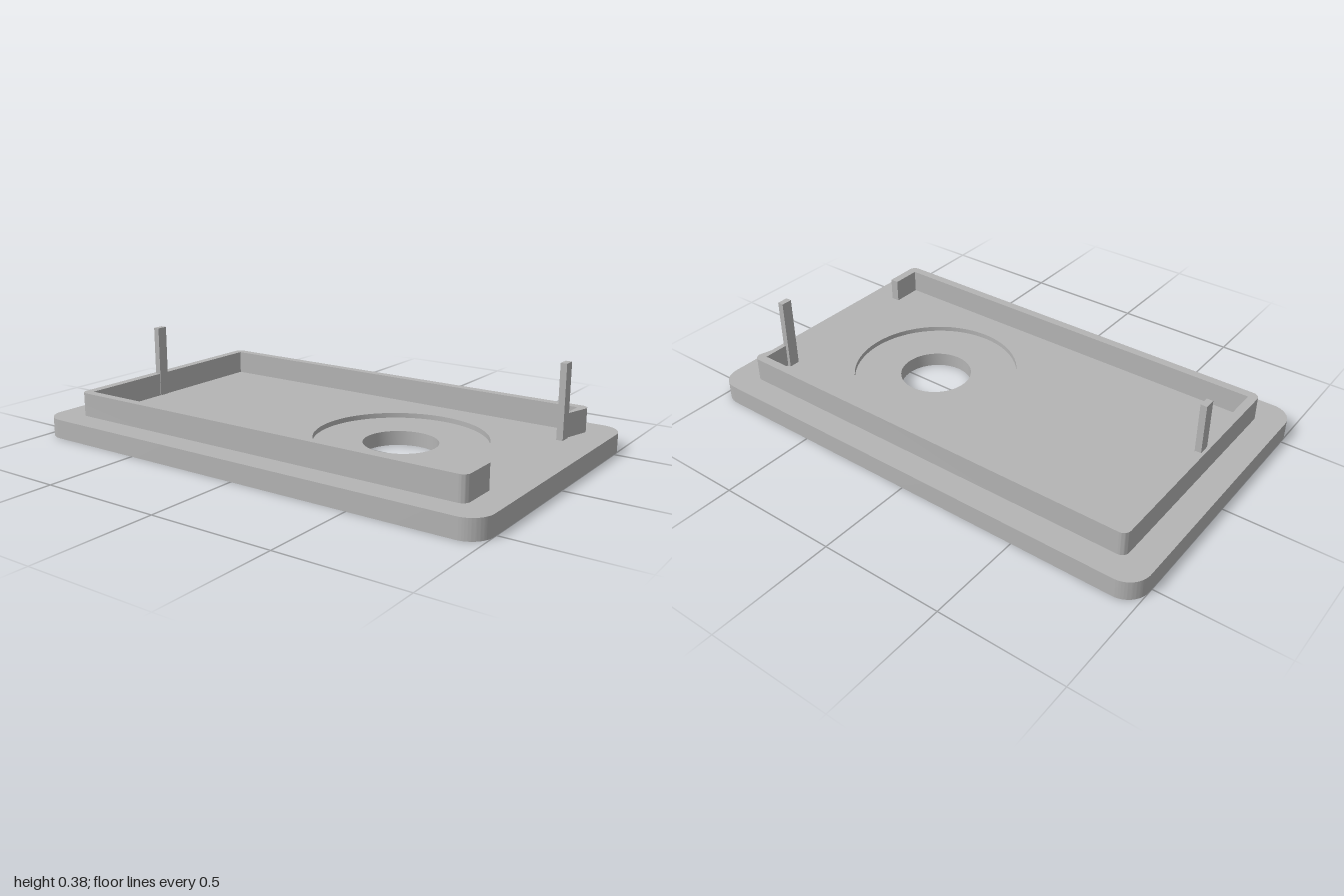
import * as THREE from 'three';
import { toCreasedNormals } from 'three/addons/utils/BufferGeometryUtils.js';

const PLATE_TOP = 0.078, RIM_TOP = 0.175, PIN_TOP = 0.378;
const HOLE_Z = 0.34, HOLE_R = 0.147, RECESS_R = 0.34, RECESS_Y = 0.058;
const SEGMENTS = 32;

// Rounded rectangle, counter-clockwise
function roundedRect(w, d, r) {
  const s = new THREE.Shape();
  s.absarc(w - r, d - r, r, 0, Math.PI / 2);
  s.absarc(-w + r, d - r, r, Math.PI / 2, Math.PI);
  s.absarc(-w + r, -d + r, r, Math.PI, Math.PI * 1.5);
  s.absarc(w - r, -d + r, r, Math.PI * 1.5, Math.PI * 2);
  s.closePath();
  return s;
}

// Flat plate face with a round opening, looking up (1) or down (-1)
function plateFace(openingRadius, y, up) {
  const s = roundedRect(0.605, 1, 0.09);
  s.holes.push(new THREE.Path().absarc(0, -up * HOLE_Z, openingRadius, 0, Math.PI * 2, true));
  return new THREE.ShapeGeometry(s, SEGMENTS).rotateX(-up * Math.PI / 2).translate(0, y, 0);
}

// Upright wall around the plate outline
function plateEdge() {
  const pts = roundedRect(0.605, 1, 0.09).getPoints(SEGMENTS);
  const pos = [];
  pts.forEach((a, i) => {
    const b = pts[(i + 1) % pts.length];
    if (a.distanceTo(b) < 1e-6) return;
    const a0 = [a.x, 0, -a.y], b0 = [b.x, 0, -b.y];
    const a1 = [a.x, PLATE_TOP, -a.y], b1 = [b.x, PLATE_TOP, -b.y];
    pos.push(...a0, ...b0, ...b1, ...a0, ...b1, ...a1);
  });
  const g = new THREE.BufferGeometry();
  g.setAttribute('position', new THREE.Float32BufferAttribute(pos, 3));
  g.computeVertexNormals();
  return toCreasedNormals(g, 0.5);
}

// Stepped recess running down into the through hole
function recess() {
  const profile = [[RECESS_R, PLATE_TOP], [RECESS_R, RECESS_Y], [HOLE_R, RECESS_Y], [HOLE_R, 0]]
    .map(([x, y]) => new THREE.Vector2(x, y));
  const g = new THREE.LatheGeometry(profile, SEGMENTS * 2);
  return toCreasedNormals(g, 0.5).translate(0, 0, HOLE_Z);
}

// Raised rim, open in the middle of the front
function rim() {
  const w = 0.5, d = 0.89, t = 0.036, r = 0.03, gap = 0.34;
  const s = new THREE.Shape();
  s.moveTo(gap, -d);
  s.absarc(w - r, -d + r, r, Math.PI * 1.5, Math.PI * 2);
  s.absarc(w - r, d - r, r, 0, Math.PI / 2);
  s.absarc(-w + r, d - r, r, Math.PI / 2, Math.PI);
  s.absarc(-w + r, -d + r, r, Math.PI, Math.PI * 1.5);
  s.lineTo(-gap, -d);
  s.lineTo(-gap, -d + t);
  s.lineTo(-w + t, -d + t);
  s.lineTo(-w + t, d - t);
  s.lineTo(w - t, d - t);
  s.lineTo(w - t, -d + t);
  s.lineTo(gap, -d + t);
  s.closePath();
  const g = new THREE.ExtrudeGeometry(s, { depth: RIM_TOP - PLATE_TOP, bevelEnabled: false, curveSegments: 8 });
  return toCreasedNormals(g, 0.5).rotateX(-Math.PI / 2).translate(0, PLATE_TOP, 0);
}

function pin(x, z) {
  const h = PIN_TOP - PLATE_TOP;
  return new THREE.BoxGeometry(0.046, h, 0.026).translate(x, PLATE_TOP + h / 2, z);
}

export function createModel() {
  const grey = new THREE.MeshStandardMaterial({ color: 0xb4b4b4 });
  grey.name = 'grey';
  const model = new THREE.Group();
  model.name = 'coverPlate';
  const add = (parent, name, geometry) => {
    const mesh = new THREE.Mesh(geometry, grey);
    mesh.name = name;
    parent.add(mesh);
  };

  // Base plate
  const base = new THREE.Group();
  base.name = 'basePlate';
  add(base, 'plateTop', plateFace(RECESS_R, PLATE_TOP, 1));
  add(base, 'plateBottom', plateFace(HOLE_R, 0, -1));
  add(base, 'plateEdge', plateEdge());
  add(base, 'recessAndHole', recess());
  model.add(base);

  // Rim and upright pins
  add(model, 'rim', rim());
  add(model, 'backPin', pin(-0.058, -0.864));
  add(model, 'frontPin', pin(0.335, 0.852));
  return model;
}
